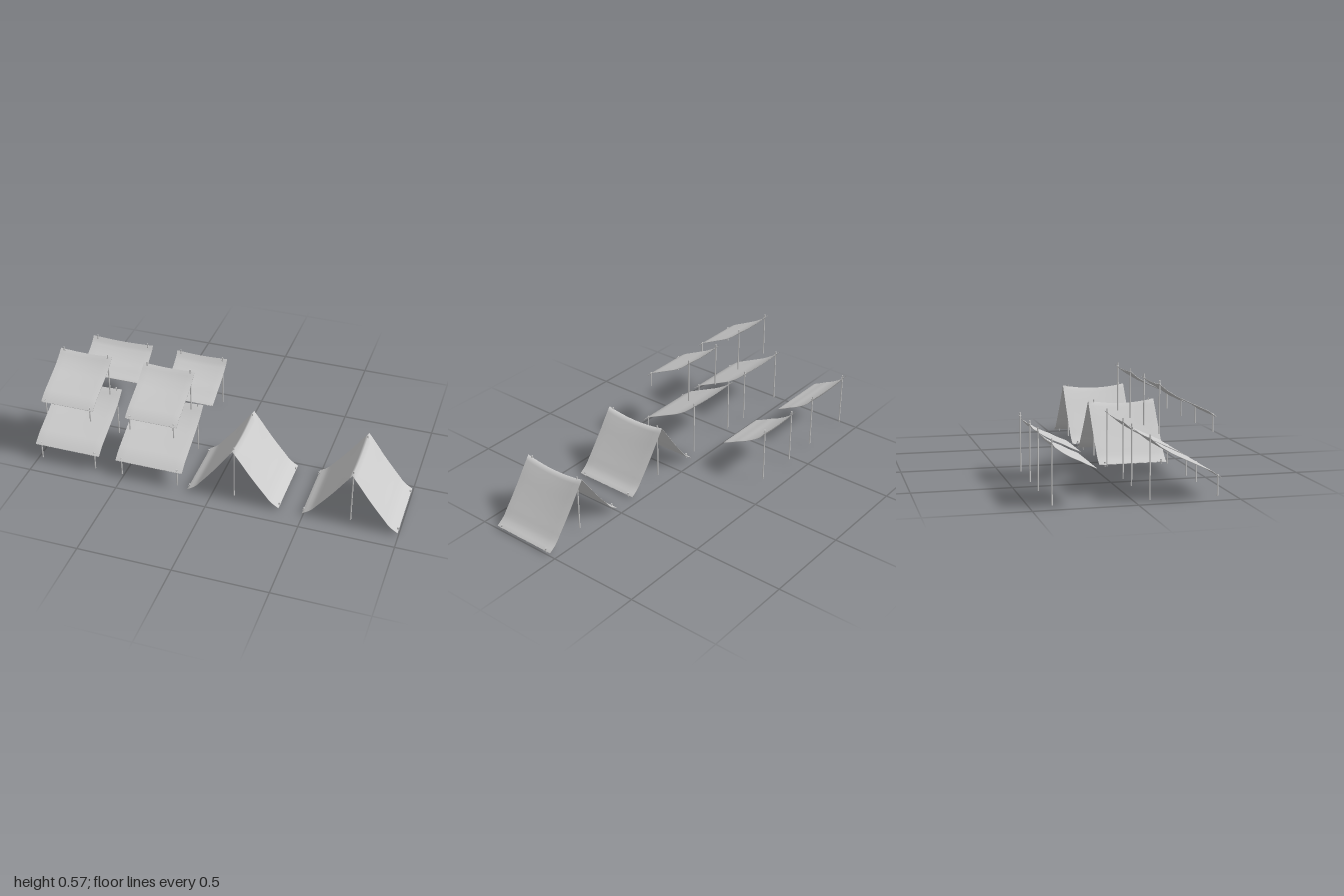
import * as THREE from 'three';

const mat = new THREE.MeshStandardMaterial({ color: 0xcccccc, side: THREE.DoubleSide });

function mesh(geometry, name, x = 0, y = 0, z = 0) {
  const m = new THREE.Mesh(geometry, mat);
  m.name = name;
  m.position.set(x, y, z);
  return m;
}

// Thin closed cloth: two layers of a grid joined round the rim, smooth shaded
function cloth(nu, nv, at, thickness = 0.003) {
  const pos = [], index = [], row = nu + 1, layer = row * (nv + 1);
  for (const dy of [0, -thickness])
    for (let j = 0; j <= nv; j++)
      for (let i = 0; i <= nu; i++) {
        const [x, y, z] = at(i / nu, j / nv);
        pos.push(x, y + dy, z);
      }
  const quad = (a, b, c, d) => index.push(a, b, c, a, c, d);
  for (let j = 0; j < nv; j++)
    for (let i = 0; i < nu; i++) {
      const a = j * row + i, b = a + 1, c = b + row, d = a + row;
      quad(a, d, c, b);
      quad(a + layer, b + layer, c + layer, d + layer);
    }
  const rim = (a, b) => quad(a, b, b + layer, a + layer);
  for (let i = 0; i < nu; i++) {
    rim(i, i + 1);
    rim(nv * row + i + 1, nv * row + i);
  }
  for (let j = 0; j < nv; j++) {
    rim((j + 1) * row, j * row);
    rim(j * row + nu, (j + 1) * row + nu);
  }
  const g = new THREE.BufferGeometry();
  g.setAttribute('position', new THREE.Float32BufferAttribute(pos, 3));
  g.setIndex(index);
  g.computeVertexNormals();
  return g;
}

// Linear lookup in a short list of [t, value] points
function lookup(points, t) {
  let k = 1;
  while (k < points.length - 1 && points[k][0] < t) k++;
  const [t0, v0] = points[k - 1], [t1, v1] = points[k];
  return v0 + (v1 - v0) * (t - t0) / (t1 - t0);
}

function pole(x, z, bottom, top) {
  const h = top - bottom;
  return mesh(new THREE.CylinderGeometry(0.0035, 0.0038, h, 8), 'pole', x, bottom + h / 2, z);
}

// Cord loop that ties the cloth to a pole
function tie(x, y, z) {
  const g = new THREE.TorusGeometry(0.0055, 0.0015, 5, 10);
  g.rotateX(Math.PI / 2);
  return mesh(g, 'cordTie', x, y, z);
}

const legged = [[0, 0], [0.13, 0.19], [0.31, 0.38], [0.51, 0.54], [0.67, 0.67], [0.87, 0.83], [1, 1]];
const hanging = [[0, 0], [0.06, 0.15], [0.25, 0.38], [0.45, 0.57], [0.63, 0.7], [0.8, 0.85], [1, 1]];

// Sloping cloth awning: tall poles behind, short ones in front when it has legs
function awning(name, { x0, x1, zBack, zFront, yBack, yFront, base, inset, legs = true }) {
  const g = new THREE.Group();
  g.name = name;
  const profile = legs ? legged : hanging;
  g.add(mesh(cloth(8, 14, (u, v) => [
    x0 + (x1 - x0) * u,
    yBack + (yFront - yBack) * lookup(profile, v) - 0.007 * Math.sin(Math.PI * u) * (1 - v),
    zBack + (zFront - zBack) * v,
  ]), 'awningCloth'));
  for (const x of [x0 + inset, x1 - inset]) {
    g.add(pole(x, zBack + 0.007, base, yBack + 0.013), tie(x, yBack - 0.005, zBack + 0.007));
    if (legs) g.add(pole(x, zFront - 0.01, base, yFront + 0.013), tie(x, yFront + 0.008, zFront - 0.01));
  }
  return g;
}

// Half profile of the ridge tent: [distance from ridge, height]
const side = [[0, 0.314], [0.045, 0.256], [0.09, 0.194], [0.135, 0.134], [0.175, 0.084],
  [0.203, 0.047], [0.225, 0.031], [0.25, 0.015]];

function ridgeTent(name, cx) {
  const g = new THREE.Group();
  g.name = name;
  const zBack = 0.036, zFront = 0.408;
  // Both slopes in one sheet, sagging between the two ridge poles
  g.add(mesh(cloth(28, 8, (u, v) => {
    const s = u * 2 - 1, d = Math.abs(s) * 0.25;
    const ends = Math.pow(2 * v - 1, 2);
    const sag = (1 - ends) * 0.012 * (1 - d / 0.25);
    const lift = ends * 0.008 * Math.max(0, 1 - d / 0.08);
    return [cx + Math.sign(s) * d, lookup(side, d) - sag + lift, zBack + (zFront - zBack) * v];
  }), 'tentCloth'));
  for (const z of [0.068, 0.38]) {
    g.add(pole(cx, z, 0.015, 0.326));
    // Tapered ground pegs at the hems
    for (const s of [-1, 1]) {
      const peg = mesh(new THREE.CylinderGeometry(0.005, 0.0015, 0.028, 8), 'groundPeg', cx + s * 0.246, 0.014, z);
      g.add(peg, tie(peg.position.x, 0.017, z));
    }
  }
  return g;
}

export function createModel() {
  const model = new THREE.Group();
  model.name = 'marketTents';

  // Large awnings on the ground
  const low = { zBack: 0.055, zFront: 0.405, yBack: 0.312, yFront: 0.107, base: 0.015, inset: 0.03 };
  model.add(awning('largeAwningRight', { ...low, x0: -1, x1: -0.63 }));
  model.add(awning('largeAwningLeft', { ...low, x0: -0.535, x1: -0.16 }));

  // Smaller awnings on the level above
  const high = { zFront: 0.392, yBack: 0.555, yFront: 0.39, base: 0.315, inset: 0.022 };
  model.add(awning('upperAwningRight', { ...high, x0: -0.945, x1: -0.65, zBack: 0.112 }));
  model.add(awning('upperAwningLeft', { ...high, x0: -0.47, x1: -0.185, zBack: 0.107 }));

  // Rear awnings held only by poles along the high edge
  const rear = { zBack: -0.41, yBack: 0.312, base: 0.015, legs: false };
  model.add(awning('rearAwningRight', { ...rear, x0: -1, x1: -0.63, zFront: -0.2, yFront: 0.185, inset: 0.03 }));
  model.add(awning('rearAwningLeft', { ...rear, x0: -0.48, x1: -0.18, zFront: -0.152, yFront: 0.162, inset: 0.025 }));

  // Ridge tents
  model.add(ridgeTent('ridgeTentInner', 0.12));
  model.add(ridgeTent('ridgeTentOuter', 0.745));
  return model;
}
